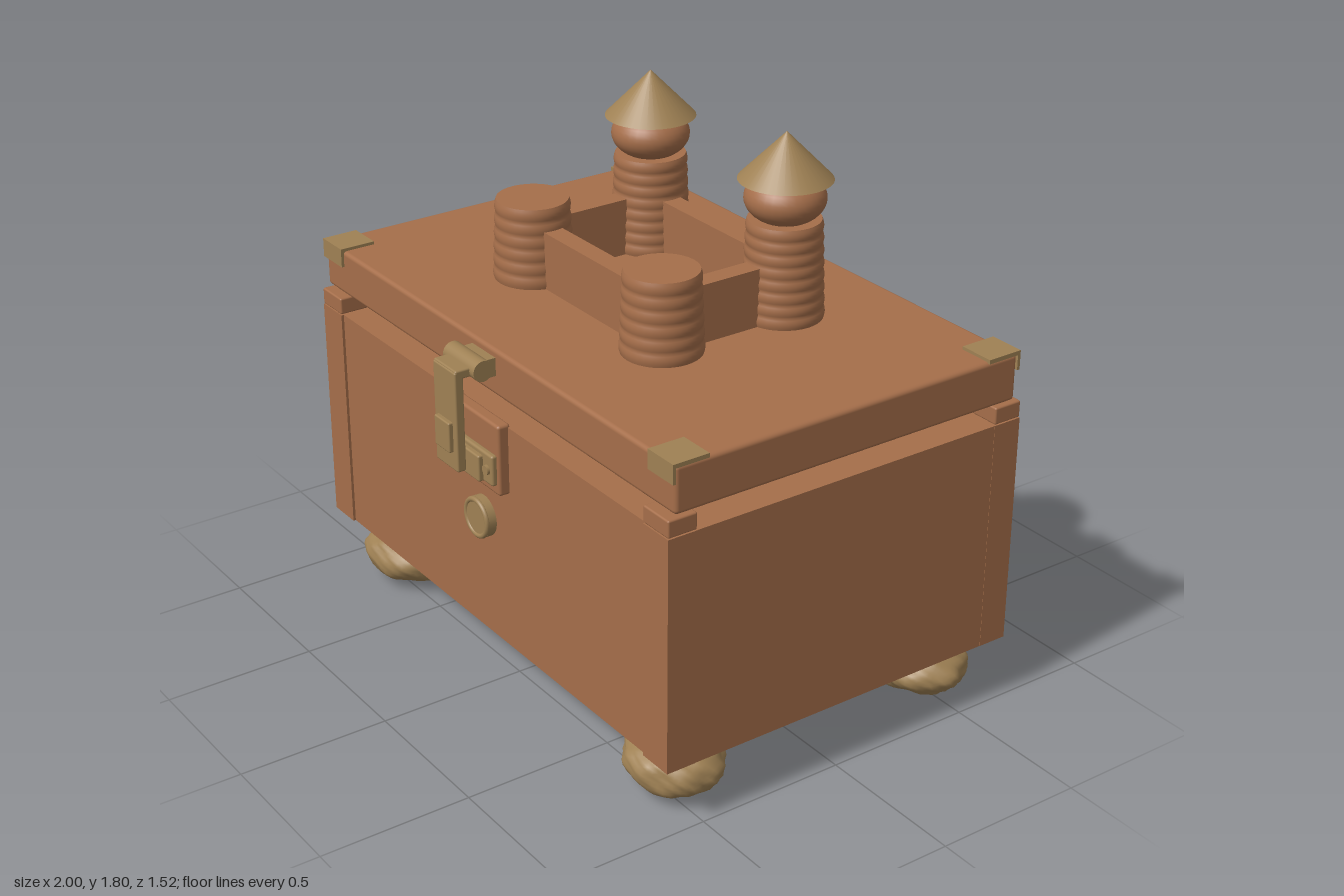
import * as THREE from 'three';
import { mergeVertices } from 'three/addons/utils/BufferGeometryUtils.js';
import { RoundedBoxGeometry } from 'three/addons/geometries/RoundedBoxGeometry.js';

const material = (name, color) => {
  const m = new THREE.MeshStandardMaterial({ color });
  m.name = name;
  return m;
};

export function createModel() {
  const wood = material('wood', 0xa56e4a);
  const brass = material('brass', 0x9f8154);
  const dark = material('dark lining', 0x4a3730);
  const model = new THREE.Group();
  model.name = 'castleChest';

  const add = (name, geometry, mat, x = 0, y = 0, z = 0, parent = model) => {
    const mesh = new THREE.Mesh(geometry, mat);
    mesh.name = name;
    mesh.position.set(x, y, z);
    parent.add(mesh);
    return mesh;
  };
  // Box given by its ranges on each axis, optionally with rounded edges
  const box = (name, mat, [x0, x1], [y0, y1], [z0, z1], r = 0, parent = model) => {
    const size = [x1 - x0, y1 - y0, z1 - z0];
    const g = r ? new RoundedBoxGeometry(...size, 2, r) : new THREE.BoxGeometry(...size);
    return add(name, g, mat, (x0 + x1) / 2, (y0 + y1) / 2, (z0 + z1) / 2, parent);
  };
  // Cylinder lying along x or z
  const rod = (name, mat, axis, r, len, x, y, z, parent = model) => {
    const g = new THREE.CylinderGeometry(r, r, len, 28);
    if (axis === 'x') g.rotateZ(Math.PI / 2);
    else g.rotateX(Math.PI / 2);
    return add(name, g, mat, x, y, z, parent);
  };

  const cx = 0.015, cz = -0.023; // centre of the chest

  // Chest body, base slab and dark inner lip
  box('body', wood, [-0.964, 0.994], [0.22, 0.99], [-0.667, 0.62]);
  box('baseSlab', wood, [-0.885, 0.912], [0.188, 0.225], [-0.58, 0.537], 0.008);
  box('innerLip', dark, [-0.855, 0.885], [0.98, 1.046], [-0.562, 0.517]);

  // Corner posts with their caps
  for (const sx of [-1, 1]) {
    for (const sz of [-1, 1]) {
      const x = cx + sx * 0.92, z = cz + sz * 0.602;
      box('cornerPost', wood, [x - 0.06, x + 0.06], [0.22, 0.99], [z - 0.05, z + 0.05]);
      box('cornerCap', wood, [x - 0.06, x + 0.06], [0.992, 1.048], [z - 0.05, z + 0.05], 0.006);
    }
  }

  // Lid and its corner plates
  box('lid', wood, [-0.966, 0.996], [1.057, 1.21], [-0.647, 0.606], 0.014);
  for (const sx of [-1, 1]) {
    for (const sz of [-1, 1]) {
      const plate = new THREE.Group();
      plate.name = 'lidCornerPlate';
      plate.position.set(cx + sx * 0.923, 0, -0.0205 + sz * 0.573);
      box('plateTop', brass, [-0.06, 0.06], [1.206, 1.22], [-0.06, 0.06], 0, plate);
      const f = sz * 0.058;
      box('plateFlap', brass, [-0.06, 0.06], [1.157, 1.22], [f - 0.005, f + 0.005], 0, plate);
      model.add(plate);
    }
  }

  // Lumpy stone-like feet
  const footGeometry = (seed) => {
    const g = new THREE.IcosahedronGeometry(1, 9);
    g.deleteAttribute('normal');
    g.deleteAttribute('uv');
    const p = g.attributes.position, v = new THREE.Vector3();
    for (let i = 0; i < p.count; i++) {
      v.fromBufferAttribute(p, i);
      const n = Math.sin(v.x * 5 + seed) * Math.sin(v.y * 4 + seed * 2) * Math.sin(v.z * 5 + 1)
        + 0.5 * Math.sin(v.x * 11 + v.y * 7 + seed) * Math.sin(v.z * 12 - v.y * 8);
      v.multiplyScalar(0.98 + 0.06 * n);
      p.setXYZ(i, v.x * 0.176, v.y * 0.093, v.z * 0.151);
    }
    const merged = mergeVertices(g, 1e-4);
    merged.computeVertexNormals();
    return merged;
  };
  [[-0.757, 0.457], [0.787, 0.457], [-0.757, -0.505], [0.787, -0.505]].forEach(([x, z], i) =>
    add('foot', footGeometry(i * 1.7 + 0.4), brass, x, 0.1, z));

  // Castle towers with ribbed shafts, closed on top
  const shaft = (height, topRadius, ribs) => {
    const points = [];
    const steps = ribs * 6;
    for (let i = 0; i <= steps; i++) {
      const t = i / steps;
      const r = 0.129 + (topRadius - 0.129) * t + 0.0045 * (Math.abs(Math.sin(Math.PI * ribs * t)) - 0.6);
      points.push(new THREE.Vector2(r, height * t));
    }
    return new THREE.LatheGeometry(points, 36);
  };
  const towerX = [-0.335, 0.365], backZ = -0.255, frontZ = 0.2;
  const tower = (x, z, height, topRadius, ribs, roofed) => {
    const g = new THREE.Group();
    g.name = roofed ? 'roofedTower' : 'openTower';
    g.position.set(x, 1.208, z);
    add('shaft', shaft(height, topRadius, ribs), wood, 0, 0, 0, g);
    const top = new THREE.CircleGeometry(topRadius - 0.0027, 36).rotateX(-Math.PI / 2);
    add('shaftTop', top, wood, 0, height, 0, g);
    if (roofed) {
      const ball = new THREE.SphereGeometry(0.127, 32, 20).scale(1, 0.66, 1);
      add('towerBall', ball, wood, 0, 0.388, 0, g);
      add('towerRoof', new THREE.ConeGeometry(0.147, 0.15, 36), brass, 0, 0.522, 0, g);
    }
    model.add(g);
  };
  for (const x of towerX) {
    tower(x, backZ, 0.322, 0.117, 8, true);
    tower(x, frontZ, 0.266, 0.118, 6, false);
    box('sideWall', wood, [x - 0.033, x + 0.033], [1.2, 1.4], [backZ, frontZ]);
  }
  for (const z of [backZ, frontZ])
    box('castleWall', wood, towerX, [1.2, 1.4], [z - 0.034, z + 0.034]);

  // Front latch
  const latch = new THREE.Group();
  latch.name = 'latch';
  model.add(latch);
  box('latchBackPlate', wood, [-0.132, 0.162], [0.763, 1.0], [0.61, 0.655], 0.01, latch);
  box('latchLidPlate', brass, [-0.05, 0.08], [1.125, 1.185], [0.6, 0.635], 0, latch);
  rod('latchBarrel', brass, 'x', 0.034, 0.175, cx, 1.164, 0.663, latch);
  box('latchArm', brass, [-0.048, 0.078], [1.145, 1.175], [0.66, 0.745], 0.006, latch);
  box('latchStrap', brass, [-0.048, 0.078], [0.838, 1.17], [0.717, 0.748], 0.006, latch);
  box('latchPad', brass, [-0.027, 0.057], [0.9, 1.0], [0.74, 0.763], 0.005, latch);
  box('latchKeeper', brass, [-0.12, 0.15], [0.797, 0.9], [0.65, 0.672], 0.008, latch);
  box('latchStaple', brass, [-0.068, 0.098], [0.797, 0.885], [0.66, 0.688], 0.006, latch);
  for (const s of [-1, 1]) rod('latchScrew', brass, 'z', 0.016, 0.014, cx + s * 0.107, 0.847, 0.674, latch);

  // Round lock boss
  rod('lockDisc', brass, 'z', 0.06, 0.04, cx, 0.628, 0.634);
  add('lockRing', new THREE.TorusGeometry(0.06, 0.009, 10, 40), brass, cx, 0.628, 0.65);
  rod('lockCollar', brass, 'z', 0.068, 0.034, cx, 0.628, 0.63);

  // Back hinges
  for (const x of [-0.583, 0.61]) {
    const hinge = new THREE.Group();
    hinge.name = 'hinge';
    box('hingeLowerLeaf', brass, [x - 0.073, x + 0.073], [0.815, 1.05], [-0.704, -0.66], 0.004, hinge);
    box('hingeUpperLeaf', brass, [x - 0.073, x + 0.073], [1.05, 1.14], [-0.728, -0.64], 0.004, hinge);
    rod('hingeBarrel', brass, 'x', 0.037, 0.22, x, 1.048, -0.722, hinge);
    model.add(hinge);
  }

  // Ring pull on one end
  box('ringMount', brass, [-0.986, -0.96], [0.68, 0.765], [-0.068, 0.02], 0.006);
  const ring = new THREE.TorusGeometry(0.064, 0.011, 10, 40).rotateY(Math.PI / 2);
  add('ringPull', ring, brass, -0.989, 0.648, -0.025);

  return model;
}
